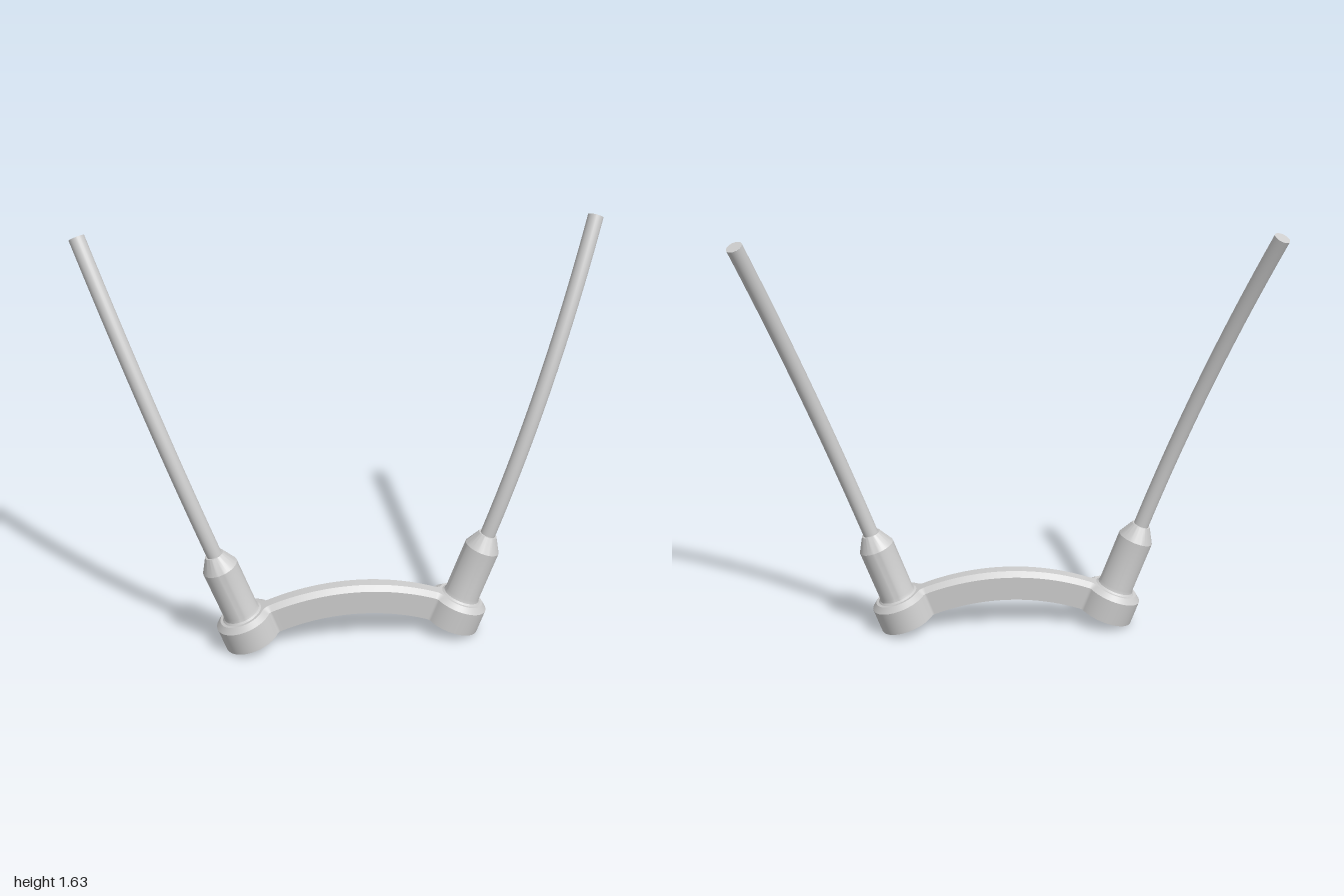
import * as THREE from 'three';
import { toCreasedNormals, mergeGeometries } from 'three/addons/utils/BufferGeometryUtils.js';

const TILT = Math.PI / 9;          // outward lean of each end
const Z = 0.08;                    // centre plane of the base
const FOOT = { x: 0.4, y: 0.043 }; // underside centre of each foot
const R = 0.113, BAR = 0.044, FILLET = 0.015; // foot radius, bar half width, corner radius
const X = Math.sqrt((R + FILLET) ** 2 - (BAR + FILLET) ** 2);
const BEND = (FOOT.x - X * Math.cos(TILT)) / Math.sin(TILT); // bend radius of the bridge
const ARC = BEND * TILT;
const MID_Y = FOOT.y + X * Math.sin(TILT) + BEND * (1 - Math.cos(TILT));

const material = new THREE.MeshStandardMaterial({ color: 0xcccccc });

// Half of the flat plan outline (s along the bar, w half width), inset by d
function planHalf(d) {
  const pts = [];
  for (let i = 0; i <= 16; i++) pts.push([ARC * i / 16, BAR - d]);
  const phi = Math.atan2(BAR + FILLET, X);
  for (let i = 1; i <= 6; i++) {
    const a = -Math.PI / 2 + (Math.PI / 2 - phi) * i / 6;
    pts.push([ARC + (FILLET + d) * Math.cos(a), BAR + FILLET + (FILLET + d) * Math.sin(a)]);
  }
  for (let i = 1; i <= 32; i++) {
    const a = (Math.PI - phi) * (1 - i / 32);
    pts.push([ARC + X + (R - d) * Math.cos(a), (R - d) * Math.sin(a)]);
  }
  return [...pts.slice(1).reverse().map(([s, w]) => [-s, w]), ...pts];
}

// Wrap a flat point around the bridge arc; past the arc it runs straight on
function bend(s, h, z) {
  const side = Math.sign(s), t = Math.abs(s);
  const a = Math.min(t, ARC) / BEND, rest = Math.max(t - ARC, 0);
  return new THREE.Vector3(
    side * ((BEND + h) * Math.sin(a) + rest * Math.cos(a)),
    MID_Y - BEND + (BEND + h) * Math.cos(a) - rest * Math.sin(a),
    Z + z);
}

// Smooth strip between two rows of points
function band(lower, upper) {
  const n = lower.length, index = [];
  for (let i = 0; i < n - 1; i++) index.push(i, i + 1, n + i + 1, i, n + i + 1, n + i);
  const g = new THREE.BufferGeometry().setFromPoints([...lower, ...upper]);
  g.setIndex(index);
  g.computeVertexNormals();
  return g;
}

function ring(d, h) {
  const half = planHalf(d);
  const front = half.map(([s, w]) => bend(s, h, w));
  const back = half.map(([s, w]) => bend(s, h, -w));
  return { front, back, loop: [...front, ...back.slice(0, -1).reverse()] };
}

// Arched bridge with a round foot at each end and a chamfered top edge
function createBridge() {
  const bottom = ring(0, 0), edge = ring(0, 0.097), top = ring(0.022, 0.116);
  return new THREE.Mesh(mergeGeometries([
    band(bottom.loop, edge.loop),
    band(edge.loop, top.loop),
    band(top.front, top.back),
    band(bottom.back, bottom.front),
  ]), material);
}

// Upright collar that holds a rod
function createSocket(side) {
  const profile = [[0.08, 0.11], [0.08, 0.116], [0.073, 0.122], [0.07, 0.134],
    [0.07, 0.345], [0.037, 0.405], [0, 0.405]].map(([r, y]) => new THREE.Vector2(r, y));
  const mesh = new THREE.Mesh(toCreasedNormals(new THREE.LatheGeometry(profile, 48), 0.45), material);
  mesh.position.set(side * FOOT.x, FOOT.y, Z);
  mesh.rotation.z = -side * TILT;
  return mesh;
}

// Long rod sweeping up, outward and back, closed at the tip
function createRod(side) {
  const start = new THREE.Vector3(side * 0.53, 0.4, Z);
  const end = new THREE.Vector3(side * 0.968, 1.623, -0.165);
  const control = start.clone().lerp(end, 0.5).setZ(Z);
  const curve = new THREE.QuadraticBezierCurve3(start, control, end);
  const cap = new THREE.CircleGeometry(0.03, 24);
  cap.applyQuaternion(new THREE.Quaternion().setFromUnitVectors(
    new THREE.Vector3(0, 0, 1), curve.getTangent(1)));
  cap.translate(end.x, end.y, end.z);
  return new THREE.Mesh(
    mergeGeometries([new THREE.TubeGeometry(curve, 40, 0.03, 24), cap]), material);
}

export function createModel() {
  const model = new THREE.Group();
  model.name = 'curvedRodFrame';
  const add = (mesh, name) => { mesh.name = name; model.add(mesh); };
  add(createBridge(), 'bridge');
  for (const [side, name] of [[1, 'left'], [-1, 'right']]) {
    add(createSocket(side), name + 'Socket');
    add(createRod(side), name + 'Rod');
  }
  return model;
}
